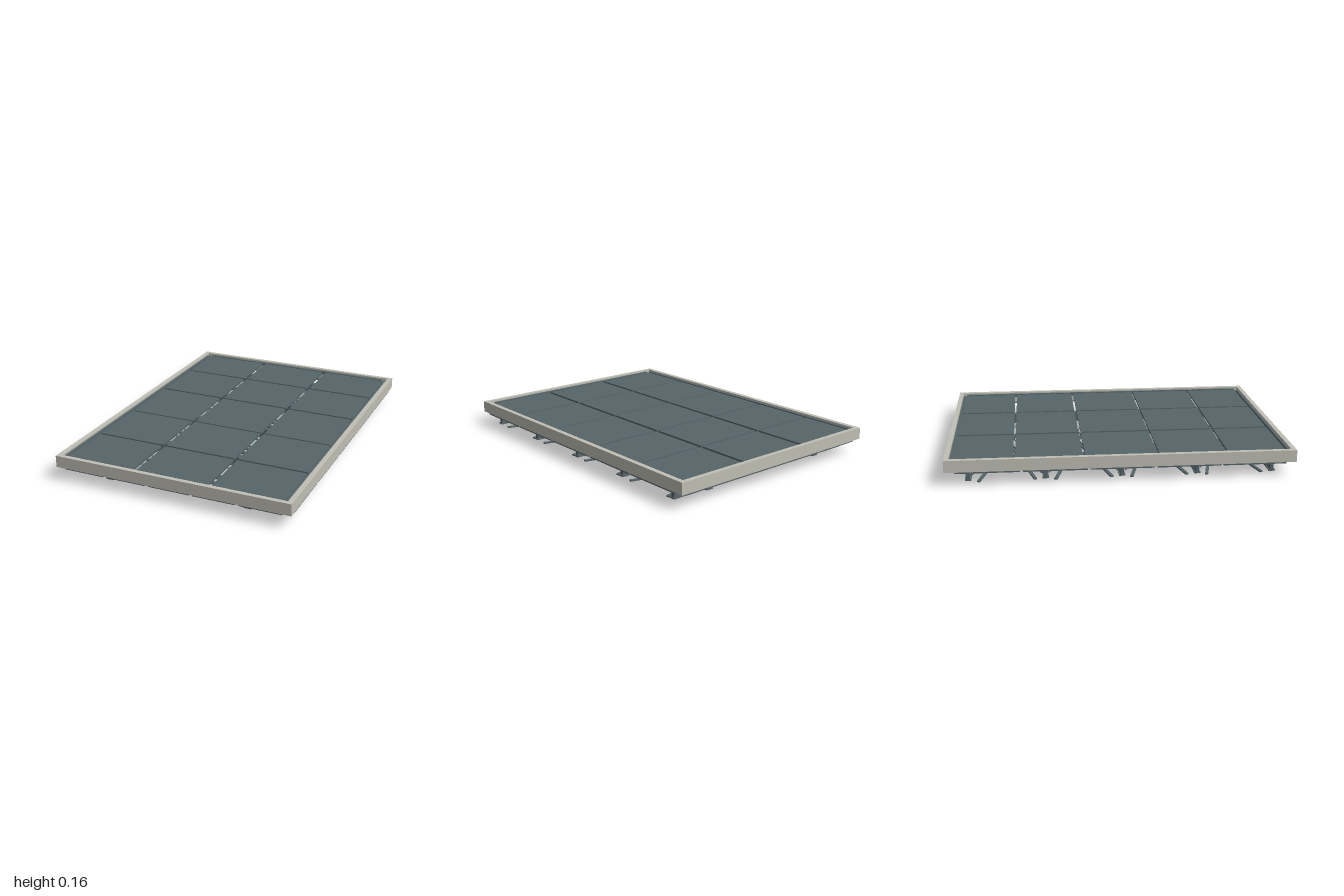
import * as THREE from 'three';

export function createModel() {
  const model = new THREE.Group();
  model.name = 'panelDeck';
  const concrete = new THREE.MeshStandardMaterial({ color: 0xc0bfb5 });
  concrete.name = 'paleConcrete';
  const steel = new THREE.MeshStandardMaterial({ color: 0x56656a });
  steel.name = 'slateSteel';

  const add = (name, geometry, material = steel) => {
    const mesh = new THREE.Mesh(geometry, material);
    mesh.name = name;
    model.add(mesh);
    return mesh;
  };
  // Box given by its minimum and maximum on each axis
  const box = (name, x0, x1, y0, y1, z0, z1, material) => {
    const mesh = add(name, new THREE.BoxGeometry(x1 - x0, y1 - y0, z1 - z0), material);
    mesh.position.set((x0 + x1) / 2, (y0 + y1) / 2, (z0 + z1) / 2);
    return mesh;
  };

  // Rectangular curb, open above and below
  const rect = (Type, w, h) => new Type([[-w, -h], [w, -h], [w, h], [-w, h]]
    .map(([x, y]) => new THREE.Vector2(x, y)));
  const curb = rect(THREE.Shape, 0.72, 1);
  curb.holes.push(rect(THREE.Path, 0.69, 0.972));
  const curbGeometry = new THREE.ExtrudeGeometry(curb, { depth: 0.07, bevelEnabled: false });
  curbGeometry.rotateX(-Math.PI / 2).translate(0, 0.085, 0);
  add('curbFrame', curbGeometry, concrete);

  // Floor panels: three columns by five rows with narrow open joints
  const columns = [[-0.665, -0.243], [-0.222, 0.222], [0.243, 0.665]];
  const rows = [[-0.955, -0.615], [-0.602, -0.222], [-0.208, 0.205], [0.215, 0.597], [0.61, 0.947]];
  for (const [x0, x1] of columns)
    for (const [z0, z1] of rows) box('floorPanel', x0, x1, 0.13, 0.142, z0, z1);

  // Edge strips inside the curb and segmented ledges beneath it
  for (const s of [-1, 1]) {
    const side = new THREE.BoxGeometry(0.018, 0.02, 1.9);
    add('sideEdgeStrip', side).position.set(s * 0.681, 0.135, 0);
    const end = new THREE.BoxGeometry(1.31, 0.02, 0.015);
    add('endEdgeStrip', end).position.set(0, 0.135, s * 0.963);
    for (let i = -2; i <= 2; i++) {
      add('sideLedge', new THREE.BoxGeometry(0.025, 0.008, 0.365)).position.set(s * 0.704, 0.08, i * 0.38);
      add('endLedge', new THREE.BoxGeometry(0.25, 0.008, 0.035)).position.set(i * 0.27, 0.08, s * 0.975);
    }
  }

  // Cross beams with top and bottom flanges
  const beamZ = [-0.87, -0.435, 0, 0.435, 0.87];
  for (const z of beamZ) {
    box('crossBeamWeb', -0.67, 0.67, 0.024, 0.072, z - 0.01, z + 0.01);
    for (const y of [0.018, 0.07])
      box('crossBeamFlange', -0.675, 0.675, y, y + 0.007, z - 0.018, z + 0.018);
    // Short pedestals carrying the panels
    for (const x of [-0.43, 0.43]) box('pedestal', x - 0.015, x + 0.015, 0.075, 0.13, z - 0.015, z + 0.015);
  }

  // Long beams
  for (const x of [-0.43, 0.43]) {
    box('longBeamWeb', x - 0.008, x + 0.008, 0.022, 0.074, -0.9, 0.9);
    for (const y of [0.016, 0.071])
      box('longBeamFlange', x - 0.022, x + 0.022, y, y + 0.006, -0.9, 0.9);
  }

  // Crossed braces in each bay: flat straps below and bowed rods above
  for (let b = 0; b < 4; b++) {
    const mid = (beamZ[b] + beamZ[b + 1]) / 2;
    for (const s of [-1, 1]) {
      const strap = add('bottomStrap', new THREE.BoxGeometry(1.35, 0.009, 0.018));
      strap.position.set(0, 0.0045 + (s > 0 ? 0.0045 : 0), mid);
      strap.rotation.y = s * 0.24;
      for (const bow of [-1, 1]) {
        const points = [];
        for (let i = -4; i <= 4; i++) {
          const t = i / 4;
          points.push(new THREE.Vector3(0.665 * t, 0.047 + bow * 0.028 * (1 - t * t), mid + s * 0.2 * t));
        }
        add('bowedRod', new THREE.TubeGeometry(new THREE.CatmullRomCurve3(points), 24, 0.004, 6));
      }
    }
  }
  return model;
}
